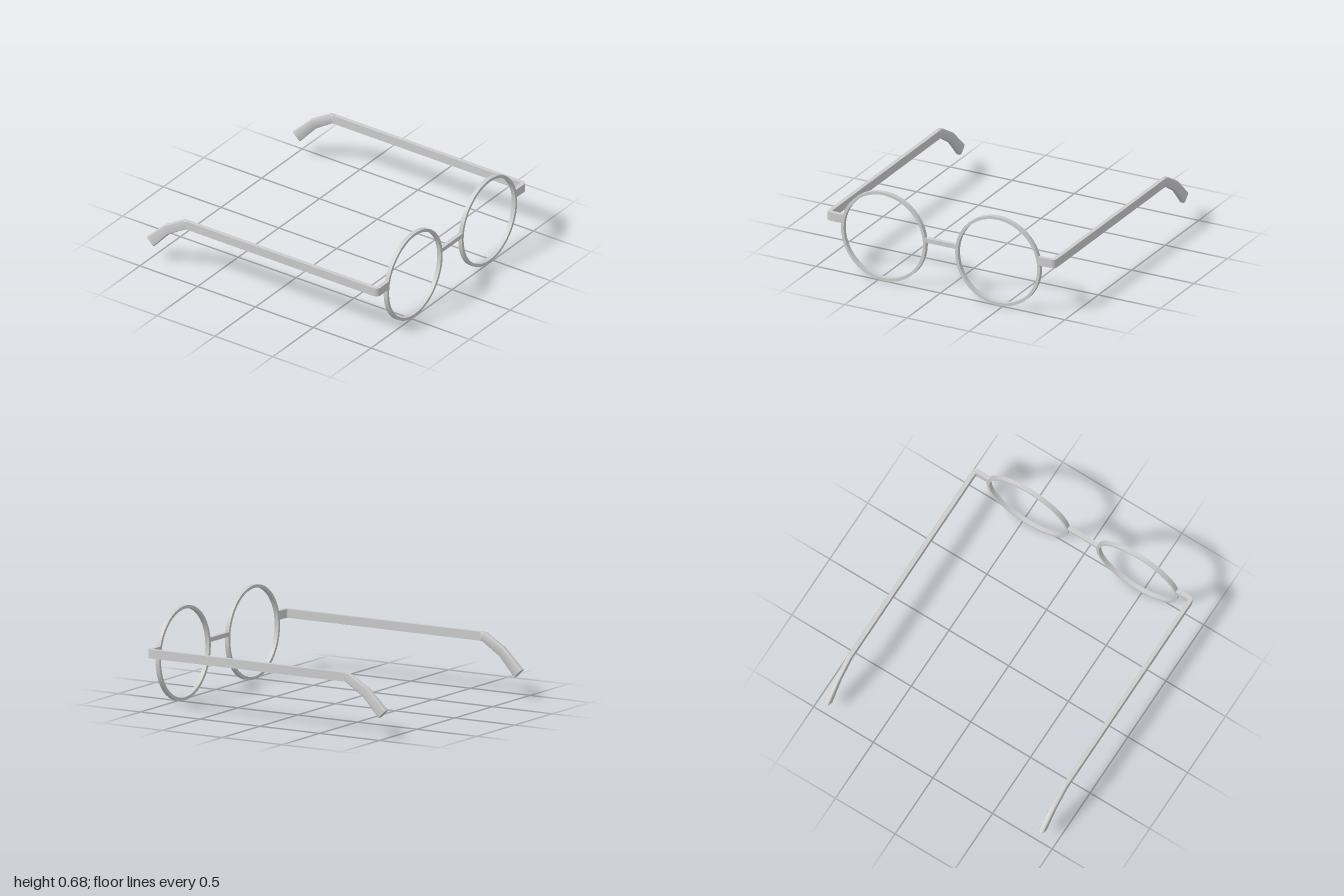
import * as THREE from 'three';
import { toCreasedNormals } from 'three/addons/utils/BufferGeometryUtils.js';

const material = new THREE.MeshStandardMaterial({ color: 0xcccccc });
const FRONT = 1, BACK = 0.968;          // depth range of the front frame
const LOW = 0.376, HIGH = 0.44;         // height range of the temples
const OUT = 0.92, IN = 0.889;           // outer and inner x of the temples
const BEND = -0.655;                    // where the temple meets the ear tip

function add(group, name, geometry) {
  const mesh = new THREE.Mesh(geometry, material);
  mesh.name = name;
  group.add(mesh);
}

// Thin round lens rim
function rimGeometry(x) {
  const shape = new THREE.Shape().absarc(0, 0, 0.341, 0, Math.PI * 2, false);
  shape.holes.push(new THREE.Path().absarc(0, 0, 0.319, 0, Math.PI * 2, true));
  const geo = new THREE.ExtrudeGeometry(shape, { depth: FRONT - BACK, bevelEnabled: false, curveSegments: 24 });
  geo.translate(x, 0.341, BACK);
  return toCreasedNormals(geo, 0.5);
}

// End piece, rounded hinge corner and straight temple in one L-shaped strip
function templeGeometry(s) {
  const shape = new THREE.Shape();
  shape.moveTo(s * 0.785, -FRONT);
  shape.lineTo(s * (OUT - 0.04), -FRONT);
  shape.quadraticCurveTo(s * OUT, -FRONT, s * OUT, -FRONT + 0.04);
  shape.lineTo(s * OUT, -BEND);
  shape.lineTo(s * IN, -BEND);
  shape.lineTo(s * IN, -BACK + 0.012);
  shape.quadraticCurveTo(s * IN, -BACK, s * (IN - 0.012), -BACK);
  shape.lineTo(s * 0.785, -BACK);
  const geo = new THREE.ExtrudeGeometry(shape, { depth: HIGH - LOW, bevelEnabled: false, curveSegments: 6 });
  geo.rotateX(-Math.PI / 2).translate(0, LOW, 0);
  return toCreasedNormals(geo, 0.5);
}

// Ear tip: rounded rectangles lofted along the downward bend
function tipGeometry(s) {
  // bottom z, bottom y, top z, top y, inner x, corner radius
  const sections = [
    [BEND, LOW, BEND, HIGH, IN, 0.003],
    [-0.668, 0.372, -0.69, 0.438, IN, 0.004],
    [-0.81, 0.281, -0.849, 0.345, 0.884, 0.01],
    [-0.938, 0.14, -1, 0.2, 0.877, 0.012],
  ];
  const position = [], index = [];
  const n = 16;
  for (const [bz, by, tz, ty, inner, r] of sections) {
    const halfW = (OUT - inner) / 2, halfH = Math.hypot(tz - bz, ty - by) / 2;
    for (let i = 0; i < n; i++) {
      const corner = Math.floor(i / 4);
      const a = corner * Math.PI / 2 + (i % 4) * Math.PI / 6;
      const sx = corner === 0 || corner === 3 ? 1 : -1, sy = corner < 2 ? 1 : -1;
      const u = sx * (halfW - r) + r * Math.cos(a);
      const t = (sy * (halfH - r) + r * Math.sin(a)) / halfH / 2 + 0.5;
      position.push(s * (inner + halfW + u), by + (ty - by) * t, bz + (tz - bz) * t);
    }
  }
  const tri = (a, b, c) => (s > 0 ? index.push(a, b, c) : index.push(a, c, b));
  for (let k = 0; k < sections.length - 1; k++) {
    for (let i = 0; i < n; i++) {
      const a = k * n + i, b = k * n + (i + 1) % n;
      tri(a, a + n, b);
      tri(b, a + n, b + n);
    }
  }
  // closed end
  const last = (sections.length - 1) * n;
  for (let i = 1; i < n - 1; i++) tri(last, last + i + 1, last + i);
  const geo = new THREE.BufferGeometry();
  geo.setAttribute('position', new THREE.Float32BufferAttribute(position, 3));
  geo.setIndex(index);
  return toCreasedNormals(geo, 0.9);
}

export function createModel() {
  const model = new THREE.Group();
  model.name = 'roundGlasses';

  for (const [side, s] of [['left', 1], ['right', -1]]) {
    add(model, side + 'Rim', rimGeometry(s * 0.459));
    add(model, side + 'Temple', templeGeometry(s));
    add(model, side + 'EarTip', tipGeometry(s));
  }

  // Straight bridge between the rims
  const bridge = new THREE.BoxGeometry(0.25, 0.032, FRONT - BACK);
  bridge.translate(0, 0.381, (FRONT + BACK) / 2);
  add(model, 'bridge', bridge);

  return model;
}
